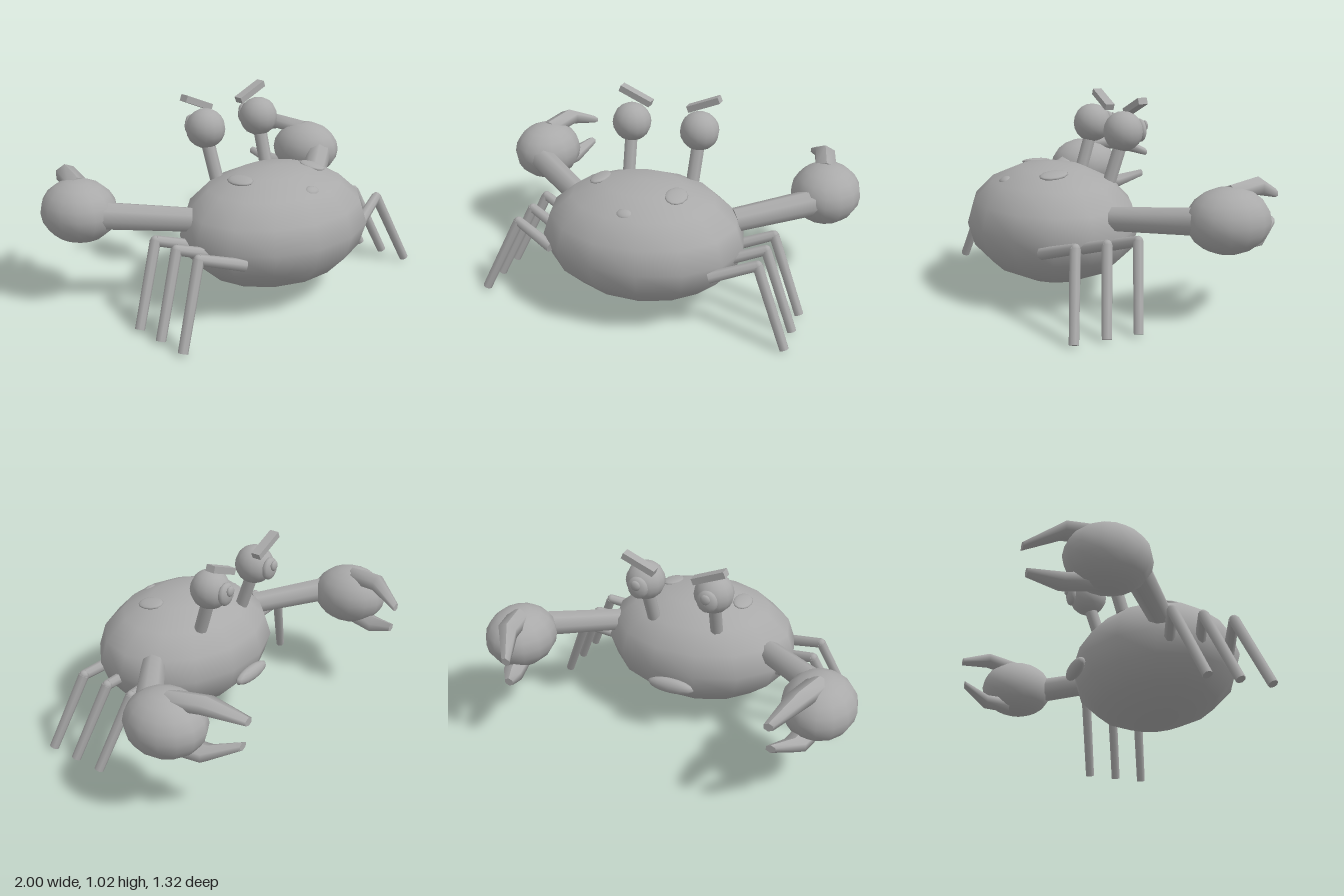
import * as THREE from 'three';

export function createModel() {
  const crab = new THREE.Group();
  crab.name = 'crab';
  const shell = new THREE.MeshStandardMaterial({ color: 0xaaaaaa });
  shell.name = 'shell grey';

  const add = (geometry, name) => {
    const mesh = new THREE.Mesh(geometry, shell);
    mesh.name = name;
    crab.add(mesh);
    return mesh;
  };

  // Ellipsoid with a centre and three radii
  const blob = (name, centre, radii, cols = 14, rows = 10) => {
    const mesh = add(new THREE.SphereGeometry(1, cols, rows), name);
    mesh.position.set(...centre);
    mesh.scale.set(...radii);
    return mesh;
  };

  // Cylinder running between two points
  const limb = (name, from, to, rFrom, rTo, sides = 8) => {
    const a = new THREE.Vector3(...from), b = new THREE.Vector3(...to);
    const dir = b.clone().sub(a);
    const mesh = add(new THREE.CylinderGeometry(rTo, rFrom, dir.length(), sides), name);
    mesh.position.copy(a).add(b).multiplyScalar(0.5);
    mesh.quaternion.setFromUnitVectors(new THREE.Vector3(0, 1, 0), dir.normalize());
    return mesh;
  };

  // Bent, tapering pincer; each ring is [x, y, z, width radius, height radius]
  const pincer = (name, rings) => {
    const g = new THREE.CylinderGeometry(1, 1, 2, 6, 2);
    const p = g.attributes.position;
    for (let i = 0; i < p.count; i++) {
      const [x, y, z, rx, ry] = rings[Math.round(p.getY(i)) + 1];
      p.setXYZ(i, x + p.getX(i) * rx, y + p.getZ(i) * ry, z);
    }
    g.computeVertexNormals();
    return add(g, name);
  };

  // Body, mouth and shell spots
  blob('body', [0, 0.375, 0.247], [0.53, 0.305, 0.428], 14, 8);
  blob('mouth', [0, 0.315, -0.193], [0.13, 0.042, 0.034], 12, 8);
  const spots = [
    [[0.2, 0.65, 0.315], [0.056, 0.014, 0.075], -0.15],
    [[-0.235, 0.648, 0.24], [0.05, 0.014, 0.08], 0.17],
    [[0, 0.606, 0.5], [0.04, 0.014, 0.03], 0],
  ];
  for (const [centre, radii, roll] of spots) {
    const spot = blob('shellSpot', centre, radii, 12, 8);
    spot.rotation.set((centre[2] - 0.247) * 1.7, 0, roll);
  }

  for (const s of [1, -1]) {
    const side = s > 0 ? 'left' : 'right';

    // Eye on a stalk, with iris, pupil and slanted brow
    const ex = 0.187 * s;
    limb(side + 'EyeStalk', [0.178 * s, 0.59, 0.002], [ex, 0.8, -0.065], 0.035, 0.035);
    blob(side + 'Eye', [ex, 0.843, -0.07], [0.102, 0.102, 0.102], 14, 10);
    blob(side + 'Iris', [ex, 0.842, -0.165], [0.056, 0.06, 0.028], 12, 8);
    blob(side + 'Pupil', [ex, 0.865, -0.193], [0.027, 0.027, 0.013], 10, 8);
    const brow = add(new THREE.BoxGeometry(0.182, 0.034, 0.05), side + 'Brow');
    brow.position.set(0.188 * s, 0.966, -0.136);
    brow.rotation.z = 0.4 * s;

    // Arm and claw
    limb(side + 'Arm', [0.435 * s, 0.458, 0.105], [0.785 * s, 0.495, -0.165], 0.062, 0.07);
    blob(side + 'Claw', [0.817 * s, 0.495, -0.302], [0.183, 0.158, 0.206], 14, 10);
    pincer(side + 'UpperPincer', [
      [0.81 * s, 0.615, -0.31, 0.062, 0.045],
      [0.765 * s, 0.633, -0.495, 0.06, 0.045],
      [0.68 * s, 0.567, -0.66, 0.026, 0.022],
    ]);
    pincer(side + 'LowerPincer', [
      [0.81 * s, 0.385, -0.31, 0.062, 0.045],
      [0.765 * s, 0.375, -0.495, 0.06, 0.042],
      [0.69 * s, 0.433, -0.638, 0.026, 0.022],
    ]);

    // Three bent walking legs
    for (let i = 0; i < 3; i++) {
      const z = 0.075 + 0.16 * i;
      const knee = [0.64 * s, 0.395, z];
      limb(side + 'UpperLeg', [0.42 * s, 0.325, z + 0.075], knee, 0.03, 0.026);
      blob(side + 'Knee', knee, [0.025, 0.025, 0.025], 8, 6);
      limb(side + 'LowerLeg', knee, [0.812 * s, 0.011, z + 0.083], 0.027, 0.024);
    }
  }
  return crab;
}
